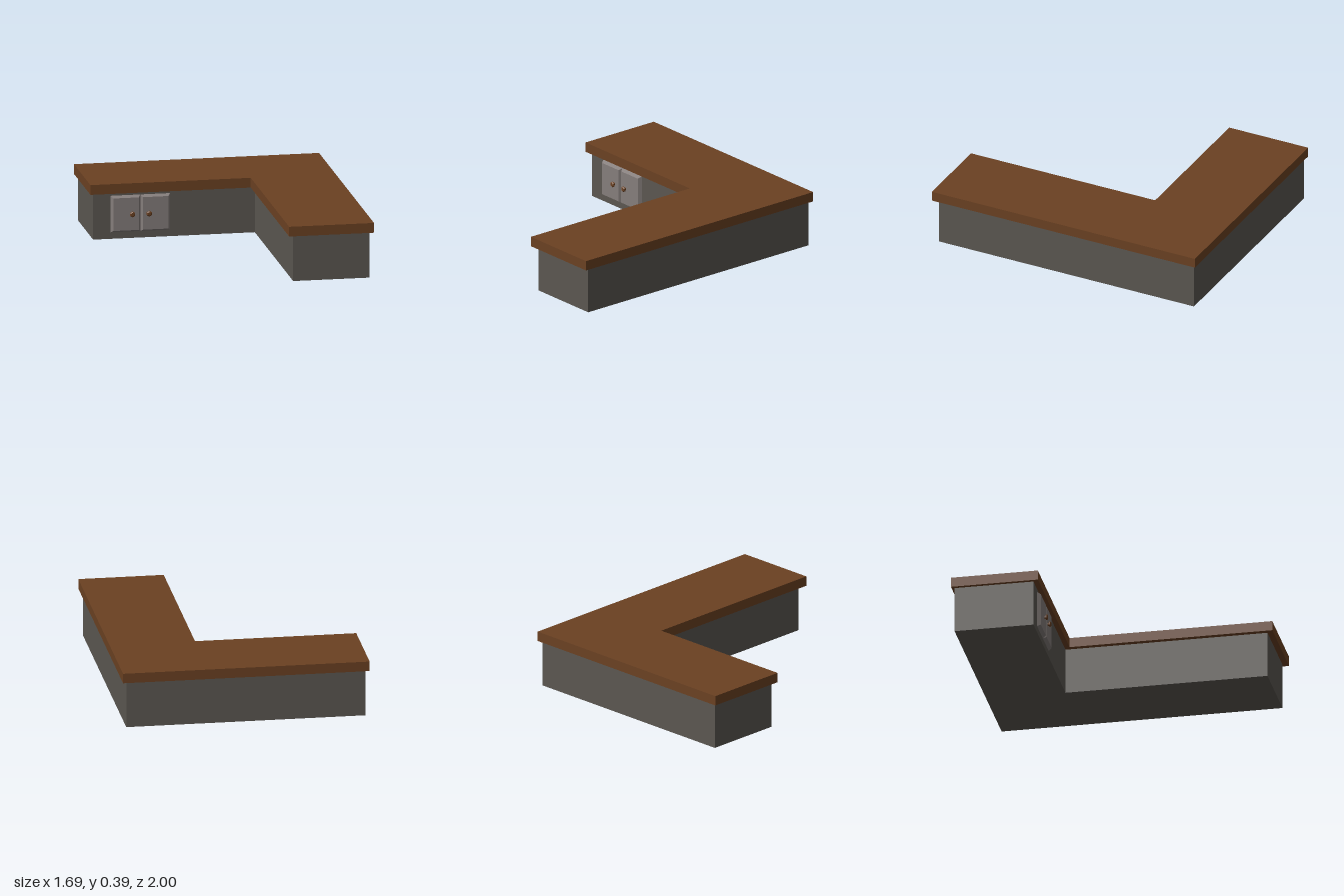
import * as THREE from 'three';

const material = (name, color) => {
  const m = new THREE.MeshStandardMaterial({ color });
  m.name = name;
  return m;
};

// L-shaped slab: outer rectangle in x and z with the front left corner cut out
function slab(x0, x1, z0, z1, innerX, innerZ, y0, y1) {
  const outline = [[x0, z0], [x1, z0], [x1, z1], [innerX, z1], [innerX, innerZ], [x0, innerZ]];
  const shape = new THREE.Shape(outline.map(([x, z]) => new THREE.Vector2(x, -z)));
  const g = new THREE.ExtrudeGeometry(shape, { depth: y1 - y0, bevelEnabled: false });
  return g.rotateX(-Math.PI / 2).translate(0, y0, 0);
}

// Door panel whose front face is drawn in to leave sloping edges
function doorPanel(w, h, d, inset) {
  const g = new THREE.BoxGeometry(w, h, d);
  const p = g.attributes.position;
  for (let i = 0; i < p.count; i++) {
    if (p.getZ(i) > 0) {
      p.setX(i, p.getX(i) - Math.sign(p.getX(i)) * inset);
      p.setY(i, p.getY(i) - Math.sign(p.getY(i)) * inset);
    }
  }
  const flat = g.toNonIndexed();
  flat.computeVertexNormals();
  return flat;
}

// Six-sided knob with a narrow stem and a chamfered head
function knobGeometry() {
  const profile = [[0.011, 0], [0.011, 0.007], [0.02, 0.011], [0.02, 0.018], [0.013, 0.023], [0, 0.023]];
  const g = new THREE.LatheGeometry(profile.map(([r, y]) => new THREE.Vector2(r, y)), 6);
  const flat = g.rotateX(Math.PI / 2).toNonIndexed();
  flat.computeVertexNormals();
  return flat;
}

export function createModel() {
  const model = new THREE.Group();
  model.name = 'cornerCounter';
  const wood = material('brownWood', 0x6b4122);
  const stone = material('darkGrey', 0x5b5751);
  const panel = material('lightGrey', 0x857d7b);

  const add = (name, geometry, mat, x = 0, y = 0, z = 0) => {
    const mesh = new THREE.Mesh(geometry, mat);
    mesh.name = name;
    mesh.position.set(x, y, z);
    model.add(mesh);
  };

  // Cabinet body and overhanging worktop
  const face = -0.435;
  add('cabinetBase', slab(-0.82, 0.82, -0.98, 0.96, 0.295, face, 0, 0.322), stone);
  add('worktop', slab(-0.845, 0.845, -1, 1, 0.26, -0.4, 0.322, 0.39), wood);

  // Pair of doors with knobs near their meeting edge
  const depth = 0.024;
  for (const [side, x, knobX] of [['right', -0.597, -0.555], ['left', -0.393, -0.44]]) {
    add(side + 'Door', doorPanel(0.204, 0.255, depth, 0.014), panel, x, 0.173, face + depth / 2);
    add(side + 'Knob', knobGeometry(), wood, knobX, 0.173, face + depth);
  }
  return model;
}
